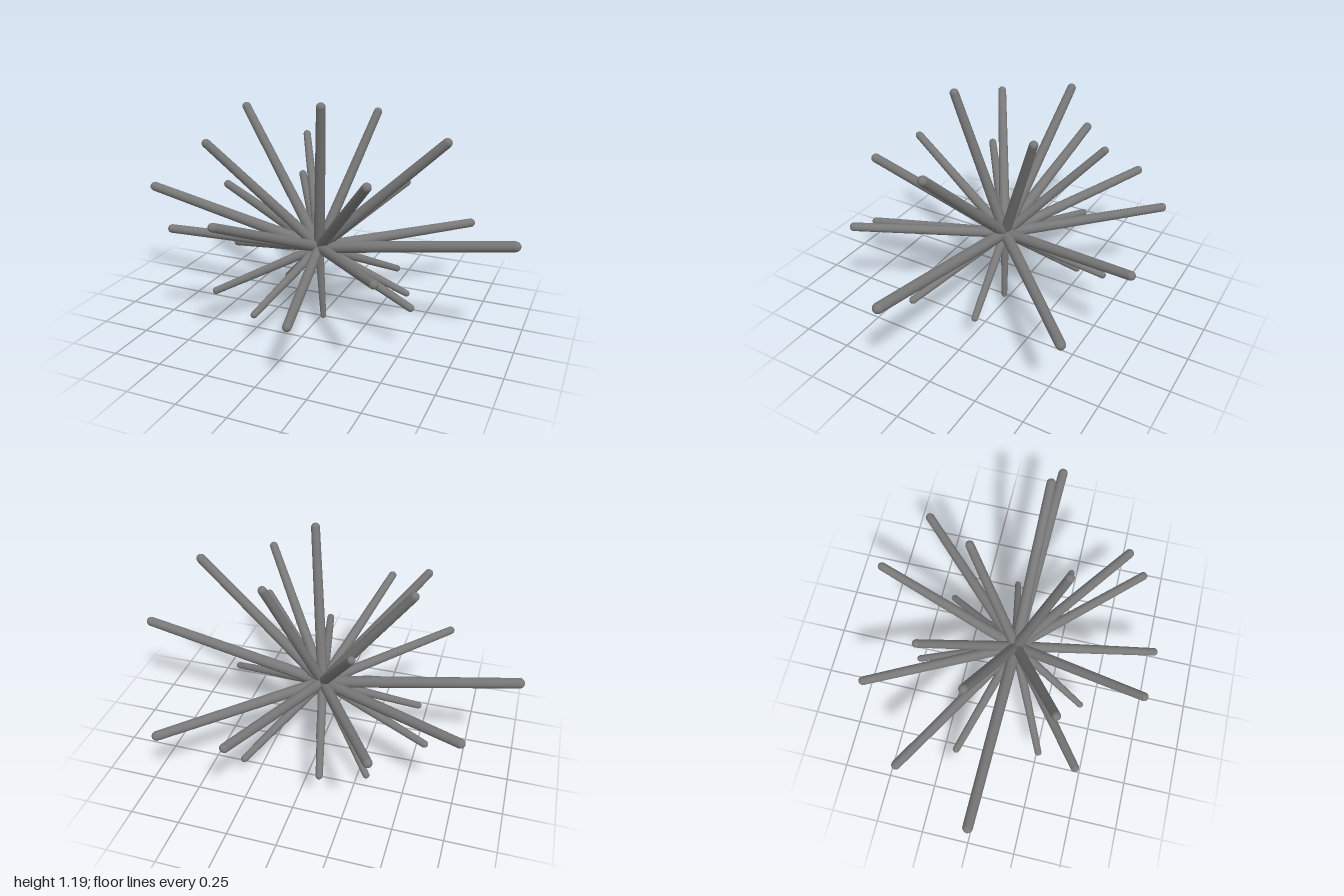
import * as THREE from 'three';

// Centre of each spine's rounded tip
const TIPS = [
  // upper spines
  [0.10, 1.165, 0.24], [-0.46, 0.96, 0.31], [0.41, 0.90, 0.485], [-0.21, 0.705, 0.695],
  [-0.25, 0.87, -0.39], [0.205, 1.06, -0.24], [-0.46, 1.06, -0.10], [0.635, 1.01, 0.05],
  // spread spines
  [0.49, 0.525, 0.60], [0.16, 0.33, 0.745], [-0.585, 0.56, 0.45], [0.63, 0.405, -0.61],
  [0.22, 0.55, -0.745], [-0.40, 0.55, -0.66], [-0.76, 0.52, -0.39], [0.974, 0.57, 0.065],
  [-0.974, 0.60, 0.025],
  // lower spines
  [-0.17, 0.17, 0.425], [-0.475, 0.17, 0.26], [0.545, 0.255, 0.225], [0.02, 0.016, 0.02],
  [0.44, 0.185, -0.06], [-0.31, 0.075, -0.25], [0.285, 0.16, -0.395], [-0.13, 0.23, -0.475],
  [-0.575, 0.27, -0.155],
];

const CENTRE = new THREE.Vector3(0, 0.4, 0.027);
const UP = new THREE.Vector3(0, 1, 0);

// Tapered spine with rounded ends; longer spines are thicker
function spineGeometry(length) {
  const baseR = 0.0165 + 0.0145 * length;
  const tipR = 0.0083 + 0.0167 * length;
  const steps = 6;
  const profile = [];
  for (let i = 0; i <= steps; i++) {
    const a = (i / steps) * Math.PI / 2;
    profile.push(new THREE.Vector2(baseR * Math.sin(a), -baseR * Math.cos(a)));
  }
  for (let i = 0; i <= steps; i++) {
    const a = (i / steps) * Math.PI / 2;
    profile.push(new THREE.Vector2(tipR * Math.cos(a), length + tipR * Math.sin(a)));
  }
  return new THREE.LatheGeometry(profile, 20);
}

export function createModel() {
  const model = new THREE.Group();
  model.name = 'spikyCluster';
  const grey = new THREE.MeshStandardMaterial({ color: 0x787878 });
  grey.name = 'midGrey';

  // Spines radiating from the common centre
  TIPS.forEach((p, i) => {
    const dir = new THREE.Vector3(...p).sub(CENTRE);
    const spine = new THREE.Mesh(spineGeometry(dir.length()), grey);
    spine.name = `spine${i + 1}`;
    spine.position.copy(CENTRE);
    spine.quaternion.setFromUnitVectors(UP, dir.normalize());
    model.add(spine);
  });
  return model;
}
